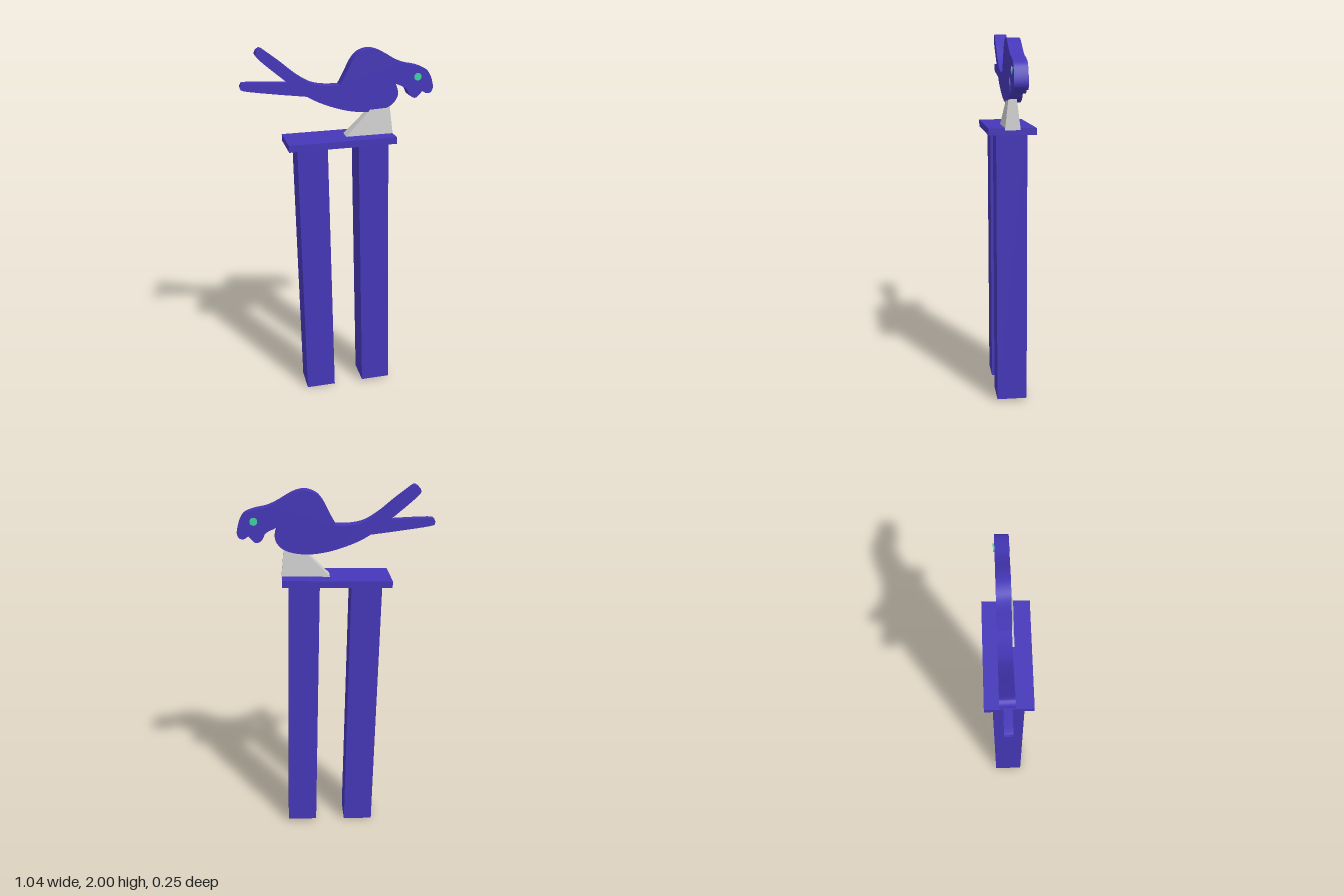
import * as THREE from 'three';
import { toCreasedNormals } from 'three/addons/utils/BufferGeometryUtils.js';

const blue = new THREE.MeshStandardMaterial({ color: 0x4537b8 });
const green = new THREE.MeshStandardMaterial({ color: 0x40d0a0 });
const grey = new THREE.MeshStandardMaterial({ color: 0xcccccc });

const TILT = 0.024; // lean of the stand about z
const TURN = 0.008; // slight turn about y

function addMesh(parent, name, geometry, material) {
  const mesh = new THREE.Mesh(geometry, material);
  mesh.name = name;
  parent.add(mesh);
  return mesh;
}

function addBeam(parent, name, size, position) {
  const beam = addMesh(parent, name, new THREE.BoxGeometry(...size), blue);
  beam.position.set(...position);
  beam.rotation.set(0, TURN, TILT);
}

// Closed outline made of smooth runs that meet at sharp corners
function outline(runs) {
  const shape = new THREE.Shape();
  shape.moveTo(...runs[0][0]);
  runs.forEach((run, i) => {
    const points = i === 0 ? run.slice(1) : run;
    shape.splineThru(points.map(([x, y]) => new THREE.Vector2(x, y)));
  });
  return shape;
}

function slab(shape, depth) {
  const geometry = new THREE.ExtrudeGeometry(shape, { depth, bevelEnabled: false, curveSegments: 4 });
  geometry.translate(0, 0, -depth / 2);
  return toCreasedNormals(geometry, 0.6);
}

export function createModel() {
  const model = new THREE.Group();
  model.name = 'birdOnStand';

  // Stand
  addBeam(model, 'rightLeg', [0.165, 1.485, 0.164], [-0.14, 0.744, -0.002]);
  addBeam(model, 'leftLeg', [0.165, 1.485, 0.164], [0.194, 0.755, -0.003]);
  addBeam(model, 'platform', [0.585, 0.037, 0.25], [0.002, 1.503, -0.002]);

  // Tapered pedestal: a box whose upper corners are drawn in
  const pedestalGeometry = new THREE.BoxGeometry(1, 1, 1);
  const p = pedestalGeometry.attributes.position;
  for (let i = 0; i < p.count; i++) {
    const top = p.getY(i) > 0;
    const right = p.getX(i) > 0;
    const x = top ? (right ? 0.278 : 0.2) : (right ? 0.296 : 0.033);
    const z = Math.sign(p.getZ(i)) * (top ? 0.02 : 0.041);
    p.setXYZ(i, x, top ? 1.69 : 1.518, z - 0.005);
  }
  const flatPedestal = pedestalGeometry.toNonIndexed();
  flatPedestal.computeVertexNormals();
  addMesh(model, 'pedestal', flatPedestal, grey);

  // Flat bird cut from a board
  const bird = new THREE.Group();
  bird.name = 'bird';
  bird.position.z = -0.0155;
  bird.rotation.y = TURN;
  model.add(bird);

  const bodyShape = outline([
    // tail tip, belly and breast
    [[-0.395, 1.993], [-0.413, 1.999], [-0.433, 1.98], [-0.423, 1.949], [-0.31, 1.852], [-0.2, 1.765],
      [-0.127, 1.72], [-0.032, 1.682], [0.063, 1.657], [0.16, 1.648], [0.25, 1.662], [0.302, 1.693],
      [0.325, 1.741], [0.31, 1.794]],
    // throat and lower beak
    [[0.345, 1.779], [0.373, 1.762], [0.392, 1.728], [0.425, 1.714], [0.462, 1.75]],
    // hooked upper beak, head and back
    [[0.483, 1.736], [0.508, 1.74], [0.52, 1.769], [0.508, 1.82], [0.482, 1.862], [0.434, 1.884],
      [0.36, 1.9], [0.302, 1.926], [0.249, 1.957], [0.206, 1.976], [0.159, 1.982], [0.106, 1.963],
      [0.069, 1.921], [0.037, 1.857], [0.005, 1.799]],
    // upper edge of the tail
    [[-0.069, 1.799], [-0.148, 1.815], [-0.228, 1.863], [-0.307, 1.927], [-0.395, 1.993]],
  ]);
  addMesh(bird, 'body', slab(bodyShape, 0.071), blue);

  // Thinner lower tail feather, running into the body
  const featherShape = outline([
    [[-0.1, 1.8], [-0.2, 1.815], [-0.31, 1.823], [-0.49, 1.828], [-0.515, 1.818], [-0.518, 1.8],
      [-0.495, 1.785], [-0.33, 1.762], [-0.17, 1.743], [-0.1, 1.735]],
    [[-0.1, 1.8]],
  ]);
  const feather = addMesh(bird, 'lowerTailFeather', slab(featherShape, 0.042), blue);
  feather.position.z = 0.003;

  // Eye peg showing on both sides
  const eyeGeometry = new THREE.CylinderGeometry(0.02, 0.02, 0.082, 24);
  eyeGeometry.rotateX(Math.PI / 2);
  const eye = addMesh(bird, 'eyes', eyeGeometry, green);
  eye.position.set(0.432, 1.827, -0.002);

  return model;
}
